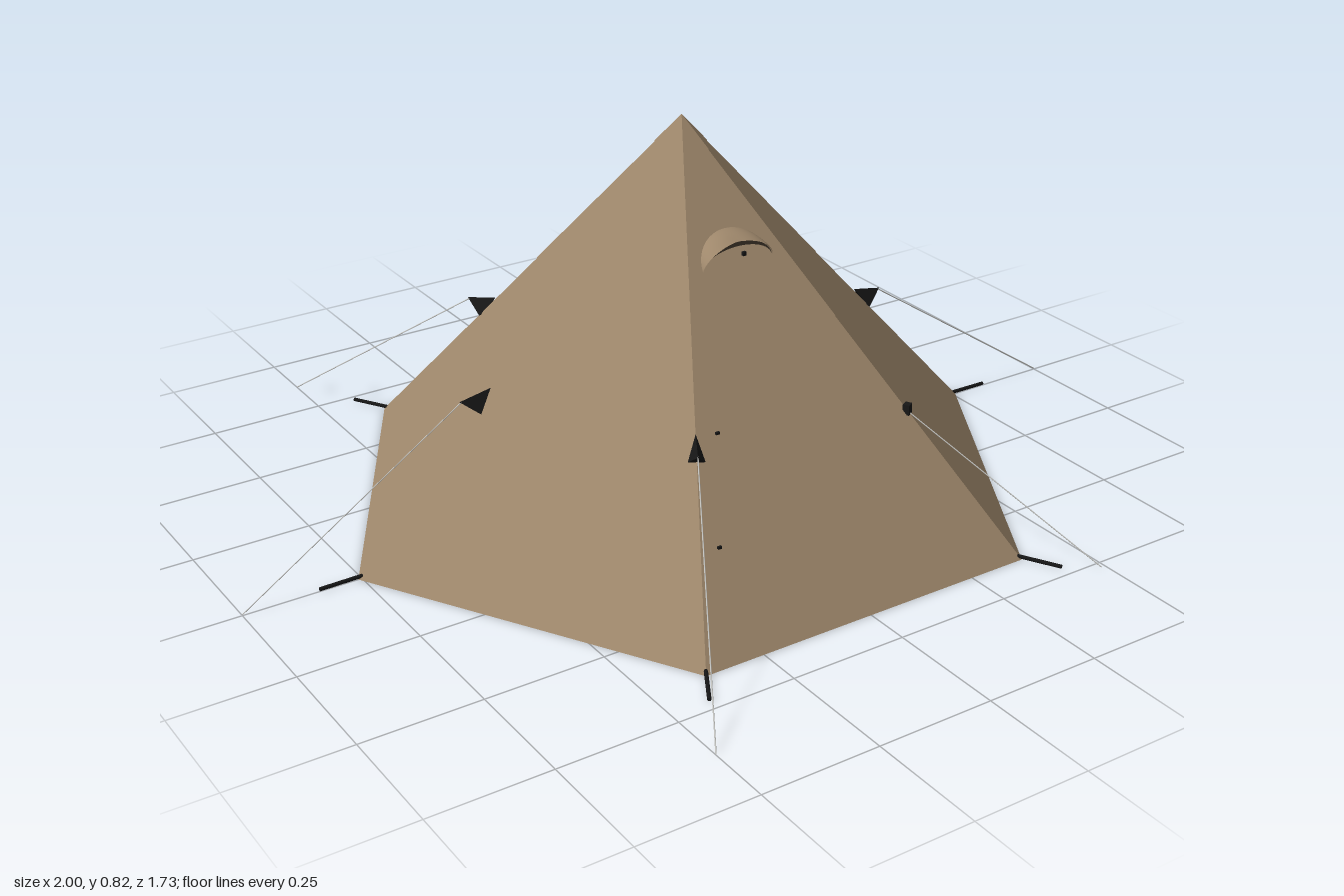
import * as THREE from 'three';

const H = 0.815, R = 0.758, APOTHEM = R * Math.cos(Math.PI / 6);
const panelZ = (y) => APOTHEM * (1 - y / H);   // front panel depth at a height
const V = (x, y, z) => new THREE.Vector3(x, y, z);

const mat = (name, color) => {
  const m = new THREE.MeshStandardMaterial({ color, side: THREE.DoubleSide });
  m.name = name;
  return m;
};

export function createModel() {
  const canvas = mat('tan canvas', 0x9e876b);
  canvas.flatShading = true;
  const hoodCanvas = mat('tan hood canvas', 0x9e876b);
  const trim = mat('dark trim', 0x4a3f32);
  const black = mat('black fittings', 0x161616);
  const cord = mat('light cord', 0xcfcfcb);

  const tent = new THREE.Group();
  tent.name = 'tent';
  const add = (parent, name, geometry, material) => {
    const mesh = new THREE.Mesh(geometry, material);
    mesh.name = name;
    parent.add(mesh);
    return mesh;
  };

  // Straight rod between two points
  const rod = (parent, name, a, b, radius, material, sides = 5) => {
    const d = b.clone().sub(a);
    const mesh = add(parent, name, new THREE.CylinderGeometry(radius, radius, d.length(), sides), material);
    mesh.position.copy(a).add(b).multiplyScalar(0.5);
    mesh.quaternion.setFromUnitVectors(V(0, 1, 0), d.normalize());
    return mesh;
  };

  // Six-sided open canopy with overlapping upper layers whose hems form the seams
  for (const [name, y, lift] of [['canopy', 0, 0], ['upperCanopy', 0.447, 0.002], ['crownCap', 0.75, 0.004]]) {
    const radius = R * (1 - y / H);
    const layer = add(tent, name, new THREE.ConeGeometry(radius, H - y, 6, 1, true, Math.PI / 2), canvas);
    layer.position.y = (H + y) / 2 + lift;
  }
  rod(tent, 'centrePole', V(0, 0, 0), V(0, H - 0.02, 0), 0.006, black, 10);

  // Folded triangular patch that holds a guy line at a corner
  const tabGeometry = new THREE.BufferGeometry();
  const top = [0.45, 0.335, 0], tip = [0.52, 0.322, 0], l = [0.482, 0.292, 0.017], r = [0.482, 0.292, -0.017];
  tabGeometry.setAttribute('position', new THREE.Float32BufferAttribute(
    [top, l, tip, top, tip, r, l, r, tip].flat(), 3));
  tabGeometry.computeVertexNormals();

  // Corners: ground stake, patch and guy line
  for (let i = 0; i < 6; i++) {
    const corner = new THREE.Group();
    corner.name = 'corner' + (i + 1);
    corner.rotation.y = i * Math.PI / 3;
    tent.add(corner);

    rod(corner, 'stake', V(0.745, 0.006, 0), V(0.84, 0.005, 0), 0.004, black, 6);

    if (i === 5) {
      // The front left corner has a small clip and a shorter line
      const clip = add(corner, 'guyClip', new THREE.BoxGeometry(0.014, 0.022, 0.016), black);
      clip.position.set(0.502, 0.278, 0);
      rod(corner, 'guyLine', V(0.505, 0.272, 0), V(0.91, 0.003, -0.037), 0.0013, cord, 4);
    } else {
      add(corner, 'guyTab', tabGeometry, black);
      rod(corner, 'guyLine', V(0.515, 0.321, 0), V(1, 0.002, 0), 0.0013, cord, 4);
    }
  }

  // Vent hood: loft from an arch on the panel out to a gently bowed lip
  const N = 24, ROWS = 4, pos = [], idx = [];
  for (let j = 0; j <= ROWS; j++) {
    const k = j / ROWS;
    for (let i = 0; i <= N; i++) {
      const t = i / N * Math.PI, s = Math.sin(t);
      const y0 = 0.563 + 0.063 * s, y1 = 0.565 + 0.048 * s;
      const z1 = 0.201 + 0.007 * Math.sin(2 * Math.asin(Math.min(s, 1)));
      const bulge = 0.003 * Math.sin(k * Math.PI) * s;
      pos.push(0.083 * Math.cos(t), y0 + (y1 - y0) * k + bulge, panelZ(y0) + (z1 - panelZ(y0)) * k);
      if (j < ROWS && i < N) {
        const a = j * (N + 1) + i, b = a + N + 1;
        idx.push(a, b, a + 1, a + 1, b, b + 1);
      }
    }
  }
  const hoodGeometry = new THREE.BufferGeometry();
  hoodGeometry.setAttribute('position', new THREE.Float32BufferAttribute(pos, 3));
  hoodGeometry.setIndex(idx);
  hoodGeometry.computeVertexNormals();

  // Thin dark crescent under the lip
  const crescent = new THREE.Shape();
  crescent.absellipse(0, 0.565, 0.082, 0.047, 0, Math.PI, false);
  crescent.absellipse(0, 0.565, 0.082, 0.038, Math.PI, 0, true);
  const crescentGeometry = new THREE.ShapeGeometry(crescent, 20);

  for (const [name, turn] of [['frontVent', 0], ['backVent', Math.PI]]) {
    const vent = new THREE.Group();
    vent.name = name;
    vent.rotation.y = turn;
    tent.add(vent);
    add(vent, 'hood', hoodGeometry, hoodCanvas);
    add(vent, 'lipTrim', crescentGeometry, trim).position.z = 0.2;
    const toggle = add(vent, 'ventToggle', new THREE.BoxGeometry(0.008, 0.008, 0.006), black);
    toggle.position.set(0.018, 0.582, panelZ(0.582) + 0.008);
  }

  // Small zip pulls on the front panel
  for (const [x, y] of [[-0.18, 0.328], [-0.262, 0.168]]) {
    const pull = add(tent, 'zipPull', new THREE.BoxGeometry(0.008, 0.005, 0.005), black);
    pull.position.set(x, y, panelZ(y) + 0.005);
  }

  return tent;
}
